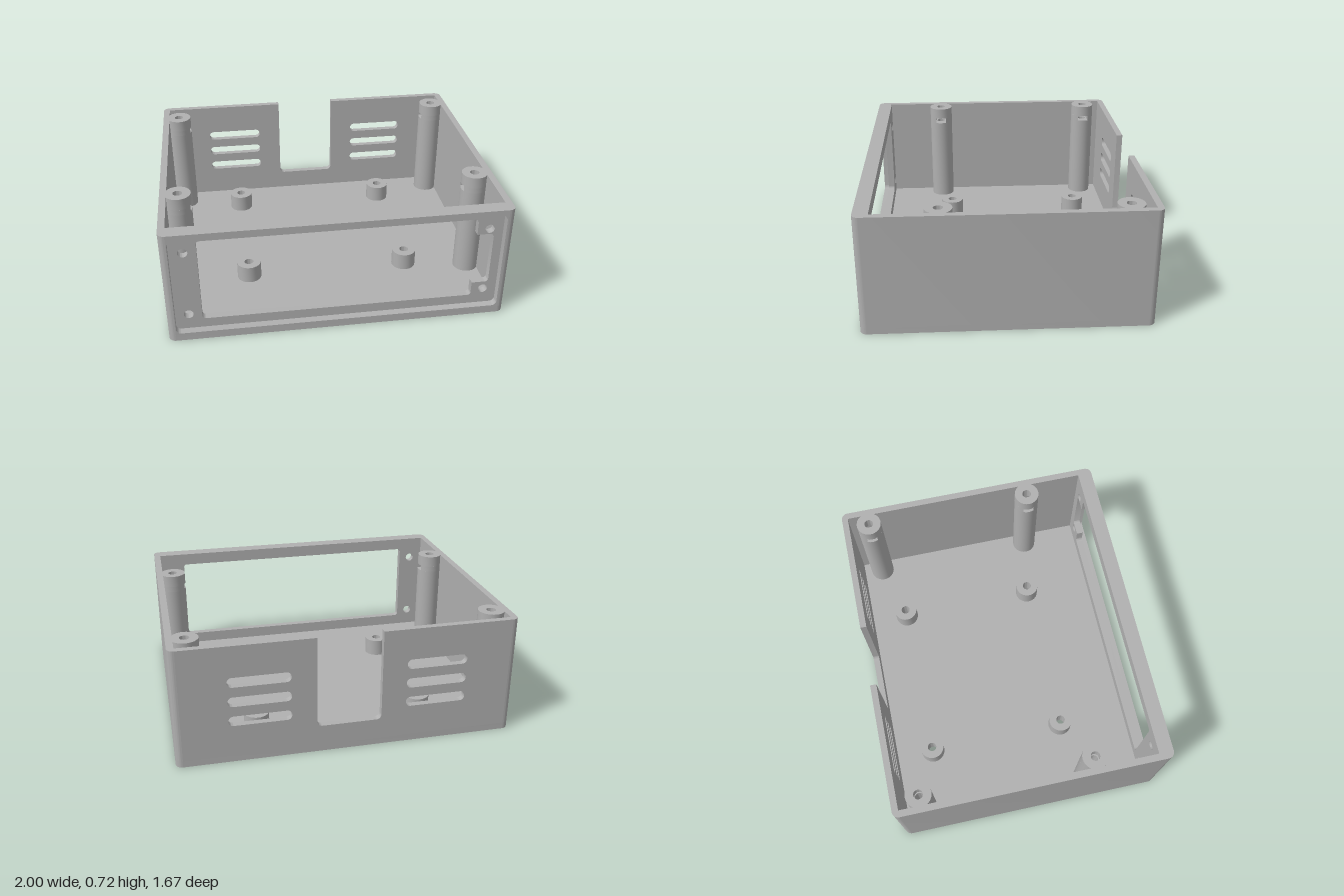
import * as THREE from 'three';
import { toCreasedNormals } from 'three/addons/utils/BufferGeometryUtils.js';

const H = 0.72, D = 0.835, IN = 0.96, FLOOR = 0.04, HOLE = 0.028;

// Closed outline with rounded corners; points are [x, y] or [x, y, radius]
function rounded(points, radius, Type = THREE.Shape) {
  const s = new Type(), n = points.length;
  const pts = points.map(p => new THREE.Vector2(p[0], p[1]));
  for (let i = 0; i < n; i++) {
    const p = pts[i], r = points[i][2] ?? radius;
    const a = pts[(i + n - 1) % n].clone().sub(p).normalize();
    const b = pts[(i + 1) % n].clone().sub(p).normalize();
    const at = (dir, d) => p.clone().addScaledVector(dir, d);
    const p0 = at(a, r), p1 = at(b, r);
    if (i === 0) s.moveTo(p0.x, p0.y); else s.lineTo(p0.x, p0.y);
    if (r > 0) {
      const c0 = at(a, r * 0.448), c1 = at(b, r * 0.448);
      s.bezierCurveTo(c0.x, c0.y, c1.x, c1.y, p1.x, p1.y);
    }
  }
  s.closePath();
  return s;
}
const rect = (x0, y0, x1, y1, r = 0, Type = THREE.Shape) =>
  rounded([[x0, y0], [x1, y0], [x1, y1], [x0, y1]], r, Type);

function circle(x, y, r, Type = THREE.Path) {
  const s = new Type();
  s.absarc(x, y, r, 0, Math.PI * 2, false);
  return s;
}

function extrude(shape, depth) {
  const g = new THREE.ExtrudeGeometry(shape, { depth, bevelEnabled: false, curveSegments: 14 });
  return toCreasedNormals(g, 0.6);
}
// Extrude upwards from y0 to y1; shape y becomes -z
const upright = (shape, y0, y1) => extrude(shape, y1 - y0).rotateX(-Math.PI / 2).translate(0, y0, 0);
// Extrude towards the front from z0 to z1
const facing = (shape, z0, z1) => extrude(shape, z1 - z0).translate(0, 0, z0);

export function createModel() {
  const model = new THREE.Group();
  model.name = 'enclosure';
  const grey = new THREE.MeshStandardMaterial({ color: 0xb0b0b0 });
  grey.name = 'grey plastic';
  const add = (name, geometry, parent = model) => {
    const mesh = new THREE.Mesh(geometry, grey);
    mesh.name = name;
    parent.add(mesh);
    return mesh;
  };

  const standoffs = [], pillars = [];
  for (const x of [-1, 1]) {
    for (const z of [-0.56, 0.31]) standoffs.push([x * 0.5, z]);
    for (const z of [-0.67, 0.38]) pillars.push([x * 0.895, z]);
  }

  // Floor with square nut pockets under the standoffs
  const floor = rect(-1, -D, 1, D, 0.04);
  for (const [x, z] of standoffs)
    floor.holes.push(rect(x - 0.035, -z - 0.035, x + 0.035, -z + 0.035, 0, THREE.Path));
  add('floor', upright(floor, 0, FLOOR));

  // Side walls with rounded outer corners
  for (const side of [-1, 1]) {
    const wall = rounded([[IN, -D, 0], [1, -D], [1, D], [IN, D, 0]], 0.0399);
    const mesh = add(side > 0 ? 'leftWall' : 'rightWall', upright(wall, FLOOR, H));
    if (side < 0) mesh.rotation.y = Math.PI;
  }

  // Back wall: open-topped cutout and vent slots
  const back = rounded([
    [-IN, FLOOR], [IN, FLOOR], [IN, H], [0.19, H],
    [0.19, 0.165, 0.03], [-0.19, 0.165, 0.03], [-0.19, H], [-IN, H],
  ], 0);
  for (const x of [-0.515, 0.515])
    for (const y of [0.26, 0.38, 0.5])
      back.holes.push(rect(x - 0.18, y - 0.03, x + 0.18, y + 0.03, 0.028, THREE.Path));
  add('backWall', facing(back, -D, -0.797));

  // Front rim around the panel recess
  const rim = rect(-IN, FLOOR, IN, H);
  rim.holes.push(rect(-0.955, 0.05, 0.952, 0.685, 0.03, THREE.Path));
  add('frontRim', facing(rim, 0.79, D));

  // Recessed front plate with notched window and screw holes
  const plate = rect(-IN, FLOOR, IN, H);
  plate.holes.push(rounded([
    [-0.8, 0.11], [0.8, 0.11], [0.8, 0.2, 0], [0.9, 0.2], [0.9, 0.54],
    [0.8, 0.54, 0], [0.8, 0.645], [-0.8, 0.645],
  ], 0.02, THREE.Path));
  for (const x of [-0.877, 0.872])
    for (const y of [0.15, 0.575]) plate.holes.push(circle(x, y, HOLE));
  add('frontPlate', facing(plate, 0.747, 0.79));

  // Short board standoffs
  const tube = r => {
    const s = circle(0, 0, r, THREE.Shape);
    s.holes.push(circle(0, 0, HOLE));
    return s;
  };
  const standoffGeometry = upright(tube(0.075), FLOOR, 0.148);
  for (const [x, z] of standoffs) add('standoff', standoffGeometry).position.set(x, 0, z);

  // Lid screw pillars with a nut slot facing inwards
  const R = 0.078, w = 0.035, a = Math.asin(w / R), y0 = 0.615, y1 = 0.65;
  const slotted = new THREE.Shape();
  slotted.absarc(0, 0, R, a, Math.PI * 2 - a, false);
  slotted.lineTo(-w, -w);
  slotted.lineTo(-w, w);
  slotted.closePath();
  const sections = [
    ['pillarShaft', upright(tube(R), FLOOR, y0)],
    ['nutSlot', upright(slotted, y0, y1)],
    ['pillarTop', upright(tube(R), y1, H)],
  ];
  for (const [x, z] of pillars) {
    const pillar = new THREE.Group();
    pillar.name = 'screwPillar';
    for (const [name, geometry] of sections) add(name, geometry, pillar);
    pillar.position.set(x, 0, z);
    if (x > 0) pillar.rotation.y = Math.PI;
    model.add(pillar);
  }
  return model;
}
